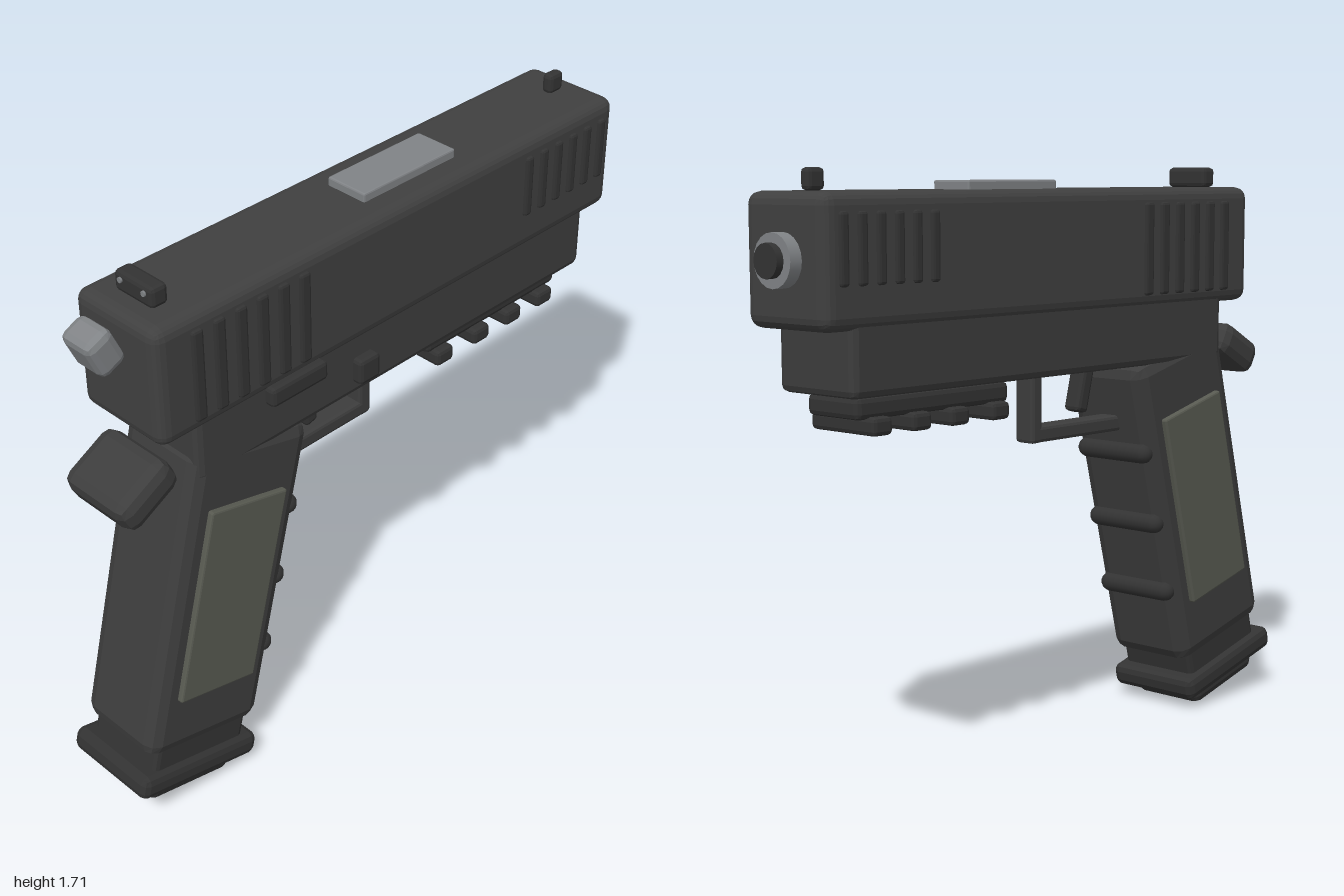
import * as THREE from 'three';
import { RoundedBoxGeometry } from 'three/addons/geometries/RoundedBoxGeometry.js';

const material = (name, color) => {
  const m = new THREE.MeshStandardMaterial({ color });
  m.name = name;
  return m;
};

export function createModel() {
  const slideGrey = material('slide charcoal', 0x404040);
  const frameGrey = material('frame charcoal', 0x3d3d3d);
  const trimGrey = material('dark trim', 0x333333);
  const panelOlive = material('olive grip panel', 0x585a51);
  const steel = material('steel grey', 0x808386);

  const model = new THREE.Group();
  model.name = 'pistol';

  const add = (parent, name, geometry, mat, x, y, z, rx = 0) => {
    const mesh = new THREE.Mesh(geometry, mat);
    mesh.name = name;
    mesh.position.set(x, y, z);
    mesh.rotation.x = rx;
    parent.add(mesh);
    return mesh;
  };

  // Bevelled box with flat facets
  const bevelBox = (w, h, d, r, segments = 1) => {
    const g = new RoundedBoxGeometry(w, h, d, segments, r);
    g.computeVertexNormals();
    return g;
  };

  // Slide and the frame under it
  add(model, 'slide', bevelBox(0.316, 0.355, 1.78, 0.035, 2), slideGrey, 0, 1.472, -0.05);
  add(model, 'frame', bevelBox(0.295, 0.24, 1.555, 0.02), frameGrey, 0, 1.238, -0.062);

  // Serrations on both sides of the slide
  for (const side of [-1, 1]) {
    for (let i = 0; i < 6; i++) {
      add(model, 'rearSerration', bevelBox(0.03, 0.275, 0.037, 0.008), trimGrey,
        side * 0.153, 1.47, 0.707 - i * 0.074);
      add(model, 'frontSerration', bevelBox(0.03, 0.19, 0.03, 0.008), trimGrey,
        side * 0.153, 1.505, -0.555 - i * 0.0645);
    }
  }

  // Top plate, sights and rear sight dots
  add(model, 'ejectionPort', bevelBox(0.138, 0.04, 0.36, 0.005), steel, 0, 1.655, -0.155);
  add(model, 'rearSight', bevelBox(0.145, 0.06, 0.055, 0.012), trimGrey, 0, 1.68, 0.743);
  add(model, 'frontSight', bevelBox(0.036, 0.06, 0.058, 0.012), trimGrey, 0, 1.68, -0.838);
  for (const side of [-1, 1]) {
    add(model, 'sightDot', new THREE.CylinderGeometry(0.008, 0.008, 0.008, 10), steel,
      side * 0.045, 1.69, 0.772, Math.PI / 2);
  }

  // Muzzle
  add(model, 'muzzleCollar', new THREE.CylinderGeometry(0.072, 0.072, 0.06, 20), steel,
    0, 1.475, -0.948, Math.PI / 2);
  add(model, 'muzzleBore', new THREE.CylinderGeometry(0.046, 0.046, 0.06, 16), trimGrey,
    0, 1.475, -0.97, Math.PI / 2);

  // Hammer and tang at the back
  add(model, 'hammer', bevelBox(0.118, 0.122, 0.088, 0.022), steel, 0, 1.577, 0.905, 0.42);
  add(model, 'tang', bevelBox(0.25, 0.11, 0.2, 0.035), frameGrey, 0, 1.136, 0.856, 0.5);

  // Controls on the left side
  add(model, 'slideStop', bevelBox(0.05, 0.06, 0.205, 0.012), trimGrey, 0.153, 1.281, 0.372);
  add(model, 'magazineRelease', bevelBox(0.05, 0.08, 0.08, 0.012), trimGrey, 0.153, 1.2, 0.107);

  // Trigger and its guard
  add(model, 'trigger', bevelBox(0.06, 0.17, 0.048, 0.012), trimGrey, 0, 1.065, 0.21, 0.25);
  add(model, 'guardFront', bevelBox(0.07, 0.23, 0.044, 0.01), frameGrey, 0, 1.025, -0.018);
  add(model, 'guardBottom', bevelBox(0.07, 0.048, 0.42, 0.01), frameGrey, 0, 0.935, 0.17);

  // Accessory rail with cross teeth
  add(model, 'rail', bevelBox(0.2, 0.06, 0.575, 0.015), trimGrey, 0, 1.085, -0.497);
  for (const z of [-0.265, -0.425, -0.57, -0.715]) {
    add(model, 'railTooth', bevelBox(0.25, 0.05, 0.07, 0.012), trimGrey, 0, 1.037, z);
  }

  // Raked grip: everything below is placed in its tilted frame
  const grip = new THREE.Group();
  grip.name = 'grip';
  grip.position.set(0, 0.685, 0.632);
  grip.rotation.x = -0.25;
  model.add(grip);
  add(grip, 'gripBody', bevelBox(0.295, 0.99, 0.42, 0.04), frameGrey, 0, 0, 0);
  for (const side of [-1, 1]) {
    add(grip, 'gripPanel', bevelBox(0.03, 0.615, 0.28, 0.006), panelOlive, side * 0.15, 0, 0);
  }

  // Finger ridges across the front strap
  for (const y of [0.218, -0.014, -0.245]) {
    const ridge = add(grip, 'fingerRidge', new THREE.CapsuleGeometry(0.031, 0.22, 5, 12),
      trimGrey, 0, y, -0.207);
    ridge.rotation.z = Math.PI / 2;
  }

  // Magazine neck and base plates
  add(grip, 'magazineNeck', bevelBox(0.27, 0.12, 0.34, 0.015), trimGrey, 0, -0.52, 0);
  add(grip, 'basePlate', bevelBox(0.32, 0.072, 0.44, 0.022), trimGrey, 0, -0.587, 0.004);
  add(grip, 'baseFoot', bevelBox(0.25, 0.08, 0.31, 0.025), trimGrey, 0, -0.634, 0.003);

  // Centre the whole width, side controls included
  model.children.forEach((part) => { part.position.x -= 0.006; });
  return model;
}
